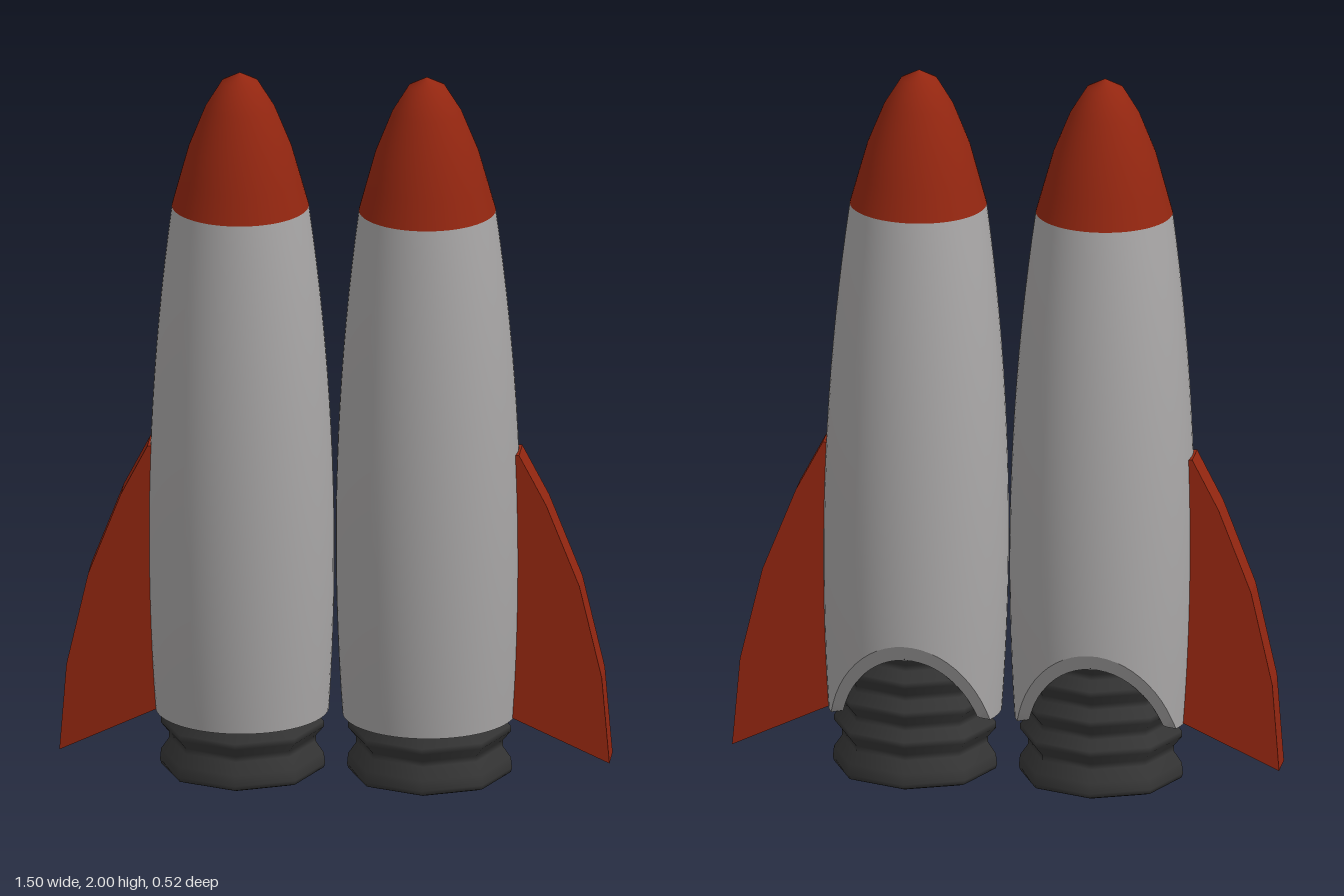
import * as THREE from 'three';

const TILT = 0.041;
const SEGMENTS = 64;

const paint = (name, color) => {
  const m = new THREE.MeshStandardMaterial({ color });
  m.name = name;
  return m;
};

const named = (name, geometry, material) => {
  const mesh = new THREE.Mesh(geometry, material);
  mesh.name = name;
  return mesh;
};

// Hull radius at a height, and the lower edge with its slanted cut at the back
const hullRadius = (y) => 0.252 - 0.071 * (y - 0.65) ** 2;
const lowerEdge = (z) => 0.175 + Math.max(0, -z - 0.092) * 1.58;

const NOSE_BASE = 1.612;

// Lathe whose rows are remapped by rule(t, angle) -> [radius, height]
function mappedLathe(rows, rule) {
  const points = [];
  for (let i = 0; i <= rows; i++) points.push(new THREE.Vector2(1, i / rows));
  const g = new THREE.LatheGeometry(points, SEGMENTS, Math.PI / 2);
  const p = g.attributes.position;
  for (let i = 0; i < p.count; i++) {
    const s = p.getX(i), c = p.getZ(i);
    const [r, y] = rule(p.getY(i), c);
    p.setXYZ(i, r * s, y, r * c);
  }
  g.computeVertexNormals();
  return g;
}

const edgeHeight = (c) => {
  let y = 0.18;
  for (let k = 0; k < 4; k++) y = lowerEdge(hullRadius(y) * c);
  return y;
};

function hullGeometry() {
  return mappedLathe(18, (t, c) => {
    const y0 = edgeHeight(c);
    const y = y0 + (NOSE_BASE - y0) * t;
    return [hullRadius(y), y];
  });
}

// Narrow underside rim, following the cut
function rimGeometry() {
  return mappedLathe(1, (t, c) => {
    const outer = hullRadius(edgeHeight(c));
    const r = t < 0.5 ? outer - 0.03 : outer;
    return [r, lowerEdge(r * c)];
  });
}

function noseGeometry() {
  const profile = [
    [hullRadius(NOSE_BASE), NOSE_BASE], [0.165, 1.69], [0.14, 1.78], [0.095, 1.892],
    [0.05, 1.966], [0, 1.992],
  ].map(([r, y]) => new THREE.Vector2(r, y));
  return new THREE.LatheGeometry(profile, SEGMENTS, Math.PI / 2);
}

// Eight-sided bellows nozzle with a recessed opening below
function nozzleGeometry() {
  const profile = [
    [0, 0.14], [0.14, 0.14], [0.15, 0.01], [0.165, 0], [0.2, 0], [0.222, 0.008], [0.225, 0.02], [0.222, 0.05],
  ];
  for (let i = 0; i < 5; i++) {
    const y = 0.09 + i * 0.085;
    profile.push([0.2, y - 0.008], [0.2, y + 0.008], [0.222, y + 0.034], [0.222, y + 0.05]);
  }
  profile.push([0.19, 0.51], [0, 0.51]);
  return new THREE.LatheGeometry(profile.map(([r, y]) => new THREE.Vector2(r, y)), 8);
}

// Swept fin, drawn for one side and mirrored for the other
function finGeometry(side) {
  const outline = [
    [0.44, 0.2], [0.485, 0.178], [0.75, 0.055], [0.73, 0.3], [0.67, 0.56],
    [0.58, 0.79], [0.507, 0.93], [0.44, 0.93],
  ].map(([x, y]) => new THREE.Vector2(x * side, y));
  const g = new THREE.ExtrudeGeometry(new THREE.Shape(outline), { depth: 0.095, bevelEnabled: false });
  g.translate(0, 0, -0.0475);
  return g;
}

export function createModel() {
  const grey = paint('hull grey', 0xa9a7a7);
  grey.side = THREE.DoubleSide;
  const red = paint('red', 0x932610);
  const dark = paint('nozzle black', 0x353535);

  const model = new THREE.Group();
  model.name = 'twinRockets';

  // The whole pair leans slightly forward
  const pair = new THREE.Group();
  pair.name = 'leaningPair';
  pair.rotation.x = TILT;
  pair.position.set(0, 0.0095, -0.026);
  model.add(pair);

  for (const [label, side] of [['left', 1], ['right', -1]]) {
    const rocket = new THREE.Group();
    rocket.name = label + 'Rocket';
    rocket.position.x = 0.255 * side;
    rocket.add(
      named('hull', hullGeometry(), grey),
      named('hullRim', rimGeometry(), grey),
      named('noseCone', noseGeometry(), red),
      named('nozzle', nozzleGeometry(), dark),
    );
    pair.add(rocket, named(label + 'Fin', finGeometry(side), red));
  }
  return model;
}
